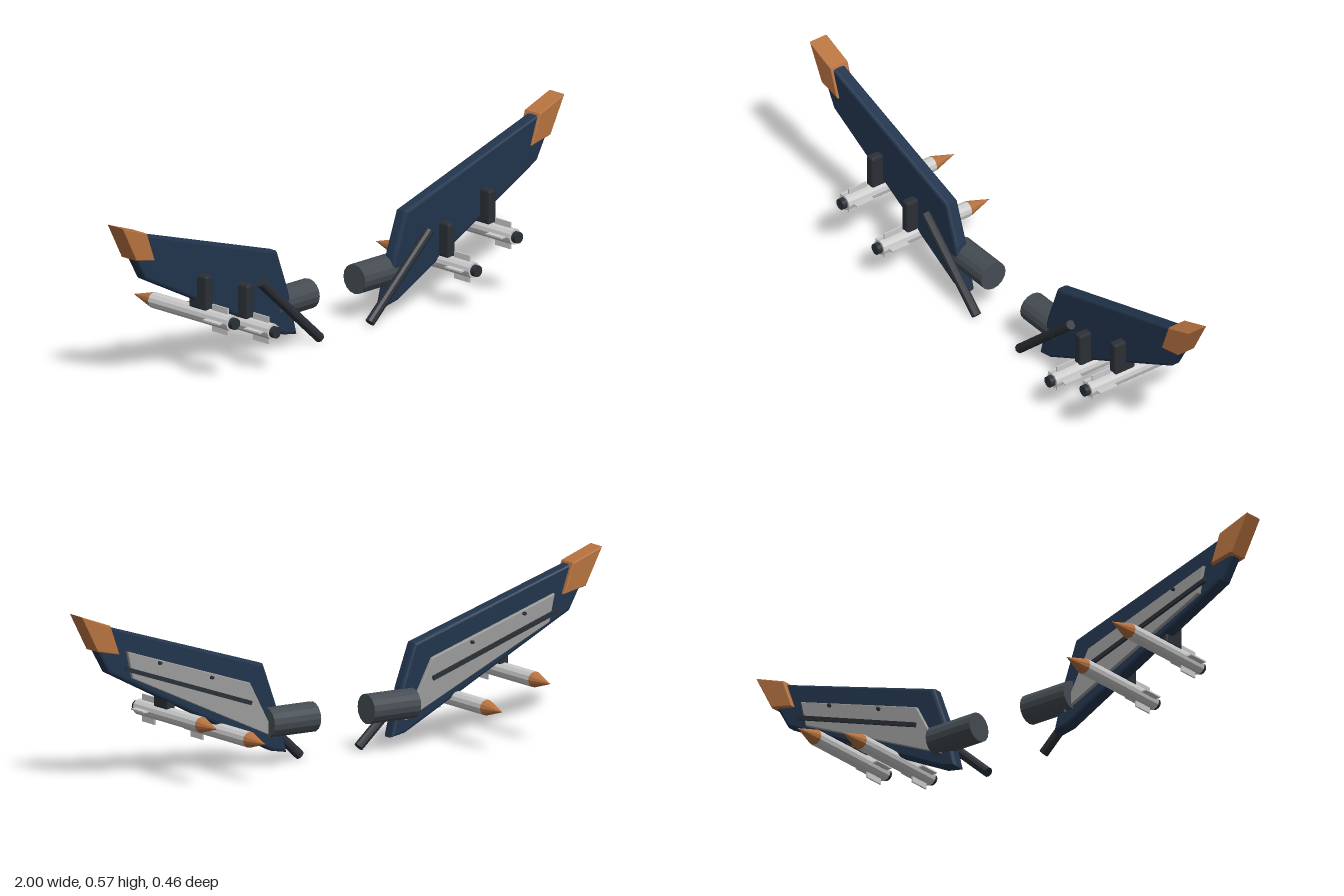
import * as THREE from 'three';
import { RoundedBoxGeometry } from 'three/addons/geometries/RoundedBoxGeometry.js';

const mat = (color) => new THREE.MeshStandardMaterial({ color, flatShading: true });
const navy = mat(0x22354d), copper = mat(0xb87340), dark = mat(0x2b3036),
  steel = mat(0x454c52), panelGrey = mat(0x9a9c9a), white = mat(0xc8ccc8);

function add(parent, name, geometry, material, x = 0, y = 0, z = 0) {
  const mesh = new THREE.Mesh(geometry, material);
  mesh.name = name;
  mesh.position.set(x, y, z);
  parent.add(mesh);
  return mesh;
}

// Bevelled plate from an x/y outline, filling z0..z1; s mirrors it
function plate(points, s, z0, z1, bevel) {
  const shape = new THREE.Shape(points.map(([x, y]) => new THREE.Vector2(x * s, y)));
  const g = new THREE.ExtrudeGeometry(shape, {
    depth: z1 - z0 - 2 * bevel, bevelEnabled: bevel > 0, bevelSegments: 2,
    bevelSize: bevel, bevelThickness: bevel, bevelOffset: -bevel,
  });
  return g.translate(0, 0, z0 + bevel);
}

// Missile with its axis along z, nose towards -z
function missile() {
  const g = new THREE.Group();
  g.name = 'missile';
  const along = (r0, r1, len) => new THREE.CylinderGeometry(r0, r1, len, 12).rotateX(-Math.PI / 2);
  add(g, 'missileBody', along(0.026, 0.026, 0.351), white, 0, 0, 0.0375);
  add(g, 'missileNose', along(0, 0.026, 0.089), copper, 0, 0, -0.1825);
  add(g, 'missileNozzle', along(0.019, 0.019, 0.02), dark, 0, 0, 0.22);
  for (let i = 0; i < 4; i++) {
    const a = i * Math.PI / 2;
    const fin = add(g, 'missileFin', new THREE.BoxGeometry(0.024, 0.005, 0.07), white,
      Math.cos(a) * 0.033, Math.sin(a) * 0.033, 0.16);
    fin.rotation.z = a;
  }
  return g;
}

function wing(s) {
  const g = new THREE.Group();
  g.name = s > 0 ? 'leftWing' : 'rightWing';

  // Main blade and tip cap
  add(g, 'wingBlade', plate([[0.2, 0.04], [0.255, 0.05], [0.885, 0.375], [0.93, 0.455],
    [0.98, 0.555], [0.29, 0.338], [0.24, 0.2]], s, 0.025, 0.071, 0.01), navy);
  add(g, 'wingTip', plate([[0.853, 0.434], [0.937, 0.452], [1, 0.573], [0.888, 0.532]],
    s, 0.01, 0.079, 0.004), copper);

  // Rear panel with its rail and rivets
  add(g, 'rearPanel', plate([[0.25, 0.095], [0.8, 0.35], [0.82, 0.44], [0.35, 0.285]],
    s, 0.013, 0.028, 0.003), panelGrey);
  const rail = add(g, 'rearRail', new THREE.BoxGeometry(0.51, 0.014, 0.01), dark, s * 0.59, 0.303, 0.01);
  rail.rotation.z = s * Math.atan2(0.165, 0.48);
  for (const [x, y] of [[0.7, 0.39], [0.5, 0.32]]) {
    add(g, 'rivet', new THREE.CylinderGeometry(0.006, 0.006, 0.012, 8).rotateX(Math.PI / 2),
      dark, s * x, y, 0.01);
  }

  // Root hinge along x
  add(g, 'rootHinge', new THREE.CylinderGeometry(0.049, 0.049, 0.178, 16).rotateZ(Math.PI / 2),
    steel, s * 0.192, 0.146, 0.025);

  // Diagonal front strut
  const from = new THREE.Vector3(s * 0.113, 0.012, 0.084), to = new THREE.Vector3(s * 0.383, 0.258, 0.084);
  const strut = add(g, 'frontStrut', new THREE.CylinderGeometry(0.016, 0.016, from.distanceTo(to), 10), dark);
  strut.position.lerpVectors(from, to, 0.5);
  strut.quaternion.setFromUnitVectors(new THREE.Vector3(0, 1, 0), to.clone().sub(from).normalize());

  // Pylons carrying missiles
  for (const [x, y] of [[0.455, 0.138], [0.64, 0.208]]) {
    add(g, 'pylon', new RoundedBoxGeometry(0.032, 0.116, 0.08, 1, 0.007), dark, s * x, y + 0.076, 0.073);
    const m = missile();
    m.position.set(s * x, y, 0);
    g.add(m);
  }
  return g;
}

export function createModel() {
  const model = new THREE.Group();
  model.name = 'wingPair';
  for (const s of [1, -1]) model.add(wing(s));
  return model;
}
